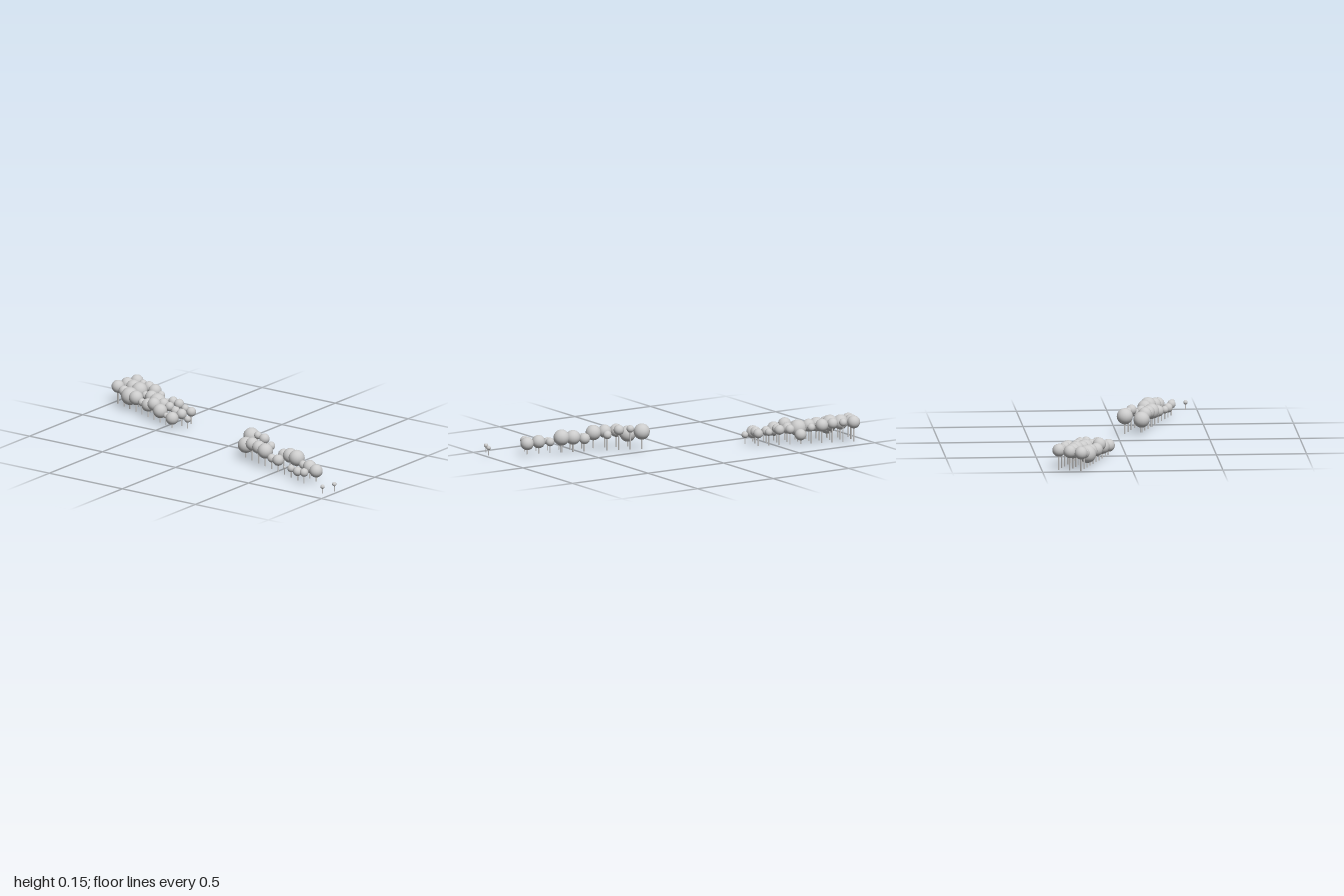
import * as THREE from 'three';

const material = new THREE.MeshStandardMaterial({ color: 0xcccccc });
const crownGeometry = new THREE.SphereGeometry(1, 18, 14);
const trunkGeometry = new THREE.CylinderGeometry(1, 1, 1, 8);

// One tree: a round crown on a thin trunk reaching its centre.
function makeTree(x, z, radius, crownY, baseY) {
  const tree = new THREE.Group();
  tree.name = 'tree';
  const crown = new THREE.Mesh(crownGeometry, material);
  crown.name = 'crown';
  crown.scale.setScalar(radius);
  crown.position.y = crownY;
  const trunk = new THREE.Mesh(trunkGeometry, material);
  trunk.name = 'trunk';
  const t = Math.min(0.0045, 0.0018 + radius * 0.08);
  trunk.scale.set(t, crownY - baseY, t);
  trunk.position.y = (crownY + baseY) / 2;
  tree.add(crown, trunk);
  tree.position.set(x, 0, z);
  return tree;
}

// A straight row of evenly spaced trees; each entry is [crown radius, crown height], null is a gap.
function makeRow(name, start, step, baseY, sizes) {
  const row = new THREE.Group();
  row.name = name;
  sizes.forEach((size, i) => {
    if (size) row.add(makeTree(start[0] + step[0] * i, start[1] + step[1] * i, size[0], size[1], baseY));
  });
  return row;
}

export function createModel() {
  const model = new THREE.Group();
  model.name = 'treeRows';

  // Front grove: two rows, with one gap
  const frontStep = [-0.0228, 0.0609];
  const frontGrove = new THREE.Group();
  frontGrove.name = 'frontGrove';
  frontGrove.add(
    makeRow('outerRow', [-0.137, 0.217], frontStep, 0.007, [
      [0.045, 0.08], [0.037, 0.102], [0.037, 0.1], [0.043, 0.095], [0.024, 0.07],
      [0.032, 0.075], [0.008, 0.05], [0.021, 0.06], [0.026, 0.06], [0.024, 0.07],
    ]),
    makeRow('innerRow', [-0.042, 0.186], frontStep, 0.007, [
      [0.045, 0.105], [0.021, 0.123], [0.029, 0.12], [0.024, 0.095], null, [0.031, 0.08],
      [0.041, 0.09], [0.045, 0.092], [0.024, 0.07], [0.037, 0.075], [0.037, 0.067],
    ]),
  );

  // Pair of saplings standing apart
  const saplings = makeRow('saplings', [-0.435, 0.959], [0.071, 0.029], 0.006, [
    [0.012, 0.046], [0.012, 0.048],
  ]);

  // Back grove: three close rows
  const backStep = [-0.021, 0.0565];
  const backGrove = new THREE.Group();
  backGrove.name = 'backGrove';
  backGrove.add(
    makeRow('outerRow', [0.285, -0.966], backStep, 0, [
      [0.036, 0.1], [0.03, 0.09], [0.05, 0.075], [0.04, 0.08], [0.022, 0.07],
      [0.037, 0.07], [0.037, 0.09], [0.04, 0.066], [0.016, 0.055], [0.036, 0.054],
    ]),
    makeRow('middleRow', [0.345, -0.945], backStep, 0, [
      [0.036, 0.105], [0.042, 0.1], [0.045, 0.098], [0.022, 0.085], [0.036, 0.09], [0.047, 0.078],
      [0.032, 0.08], [0.026, 0.08], [0.026, 0.07], [0.029, 0.068], [0.019, 0.053],
    ]),
    makeRow('innerRow', [0.405, -0.923], backStep, 0, [
      [0.036, 0.11], [0.022, 0.11], [0.03, 0.108], [0.036, 0.1], [0.022, 0.09],
      [0.032, 0.052], [0.026, 0.085], [0.028, 0.085], [0.021, 0.075], [0.027, 0.07],
    ]),
  );

  model.add(frontGrove, saplings, backGrove);
  return model;
}
